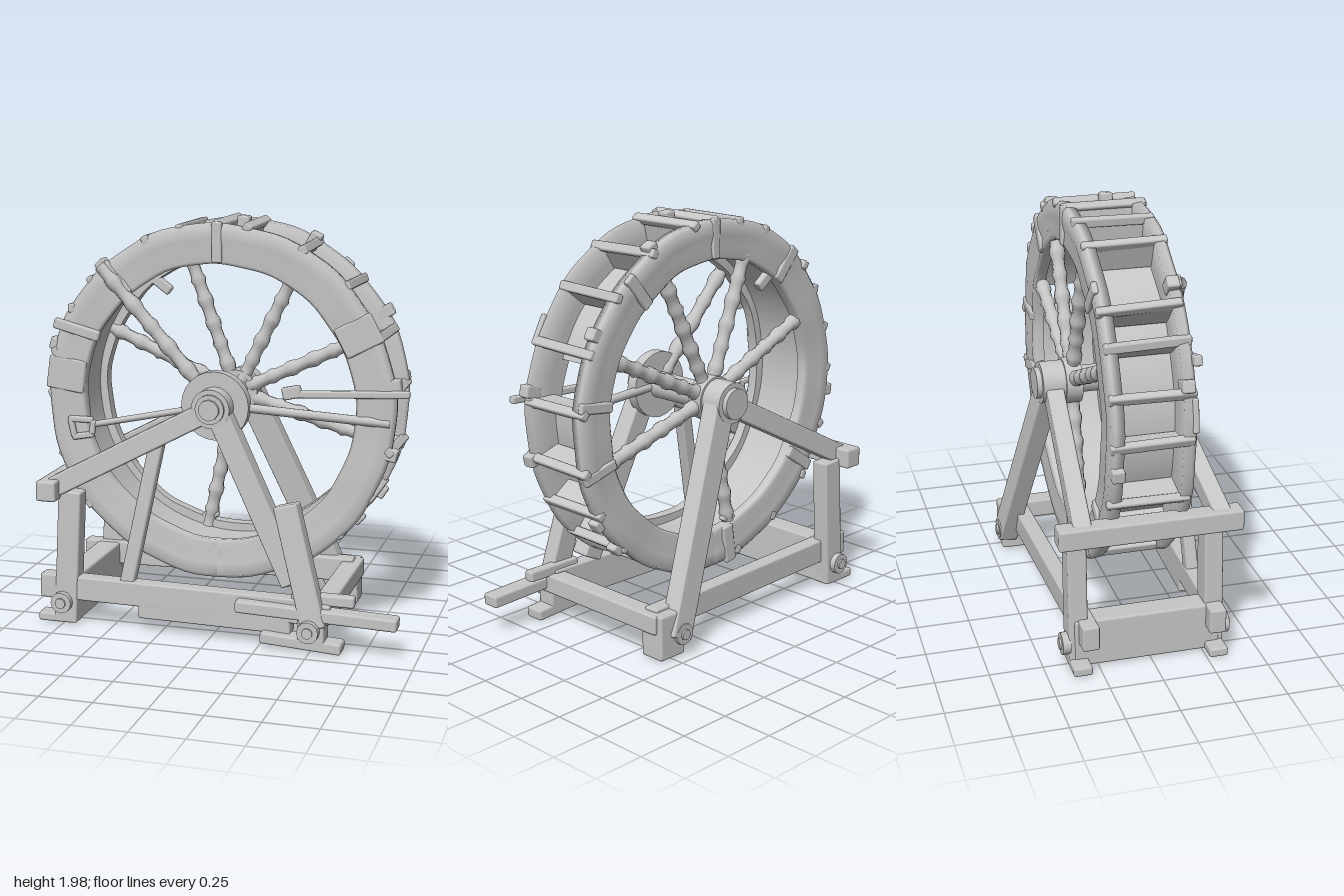
import * as THREE from 'three';
import { RoundedBoxGeometry } from 'three/addons/geometries/RoundedBoxGeometry.js';

const V = (x, y, z) => new THREE.Vector3(x, y, z);
const RAD = Math.PI / 180;
const CX = -0.015, CY = 1.113; // wheel centre

export function createModel() {
  const model = new THREE.Group();
  model.name = 'waterWheel';
  const wood = new THREE.MeshStandardMaterial({ color: 0xc6c6c6, side: THREE.DoubleSide });
  wood.name = 'grey wood';

  let seed = 7;
  const rand = () => ((seed = (seed * 16807) % 2147483647) / 2147483647);

  function add(name, geo, parent = model) {
    const m = new THREE.Mesh(geo, wood);
    m.name = name;
    parent.add(m);
    return m;
  }
  // turn a mesh so that its y axis runs from a to b
  function span(m, a, b) {
    const y = b.clone().sub(a).normalize();
    const ref = Math.abs(y.z) > 0.9 ? V(1, 0, 0) : V(0, 0, 1);
    const x = y.clone().cross(ref).normalize();
    m.quaternion.setFromRotationMatrix(new THREE.Matrix4().makeBasis(x, y, x.clone().cross(y)));
    m.position.copy(a).add(b).multiplyScalar(0.5);
    return m;
  }
  // squared timber; w lies in the frame plane, d across it
  const beam = (name, a, b, w, d, parent) =>
    span(add(name, new RoundedBoxGeometry(w, a.distanceTo(b), d, 1, 0.01), parent), a, b);
  const block = (name, x0, x1, y0, y1, z0, z1) => {
    const m = add(name, new RoundedBoxGeometry(x1 - x0, y1 - y0, z1 - z0, 1, 0.012));
    m.position.set((x0 + x1) / 2, (y0 + y1) / 2, (z0 + z1) / 2);
    return m;
  };
  const disc = (name, x, y, z0, z1, r, parent, n = 24) => {
    const m = add(name, new THREE.CylinderGeometry(r, r, z1 - z0, n), parent);
    m.rotation.x = Math.PI / 2;
    m.position.set(x, y, (z0 + z1) / 2);
    return m;
  };

  // ---- wheel ----
  const wheel = new THREE.Group();
  wheel.name = 'wheel';
  wheel.position.set(CX, CY, 0);
  model.add(wheel);
  const polar = (deg, r, z) => V(r * Math.cos(deg * RAD), r * Math.sin(deg * RAD), z);

  // rims: shallow grooved section, made slightly uneven
  for (const [name, z, s] of [['frontRim', 0.15, 1], ['backRim', -0.18, -1]]) {
    const section = [[0.67, -0.03], [0.665, 0.015], [0.68, 0.03], [0.73, 0.022], [0.78, 0.034],
      [0.835, 0.032], [0.855, 0.012], [0.85, -0.03], [0.75, -0.03], [0.67, -0.03]];
    const pts = section.map(([r, h]) => new THREE.Vector2(r, h * s));
    if (s < 0) pts.reverse();
    const geo = new THREE.LatheGeometry(pts, 96);
    geo.rotateX(Math.PI / 2);
    const p = geo.attributes.position;
    for (let i = 0; i < p.count; i++) {
      const t = Math.atan2(p.getY(i), p.getX(i));
      const k = 1 + 0.004 * Math.sin(7 * t + s) + 0.003 * Math.sin(17 * t);
      p.setXYZ(i, p.getX(i) * k, p.getY(i) * k, p.getZ(i) + 0.002 * Math.sin(11 * t));
    }
    geo.computeVertexNormals();
    add(name, geo, wheel).position.z = z;
  }

  // drum floor between the rims, with two open gaps on one side
  for (const [start, sweep] of [[21, 311], [-20, 26]]) {
    const geo = new THREE.CylinderGeometry(0.71, 0.71, 0.31, 80, 1, true, 0, sweep * RAD);
    geo.rotateX(Math.PI / 2);
    geo.rotateZ((90 + start) * RAD);
    add('drumFloor', geo, wheel).position.z = -0.015;
  }

  // rungs and the paddle boards beneath them
  for (const deg of [6, 24, 43, 62, 81, 90, 102, 115, 139, 150, 165, 180, 200, 219, 238, 258, 278, 296, 314, 331, 347]) {
    const out = deg > 225 && deg < 310 ? 0.825 : 0.838 + 0.01 * rand();
    beam('rung', polar(deg, out, -0.205 - 0.02 * rand()), polar(deg + 2 * rand() - 1, out, 0.165 + 0.02 * rand()),
      0.045, 0.04, wheel).rotateY(rand());
    beam('paddle', polar(deg + 1, 0.71, -0.015), polar(deg, out, -0.015), 0.025, 0.3, wheel);
  }

  // straps round the rim: [angle, width, front face?, back face?]
  for (const [deg, w, front, back] of [[90, 0.05, 1, 1], [28, 0.15, 1, 0], [172, 0.16, 1, 0], [50, 0.06, 0, 1],
    [8, 0.05, 0, 1], [345, 0.05, 0, 1], [131, 0.06, 1, 1], [215, 0.06, 0, 1], [262, 0.07, 0, 1]]) {
    if (front) beam('rimStrap', polar(deg, 0.67, 0.172), polar(deg, 0.862, 0.172), w, 0.03, wheel);
    if (back) beam('rimStrap', polar(deg, 0.67, -0.205), polar(deg, 0.862, -0.205), w, 0.03, wheel);
  }
  // pegs standing out of the rim
  for (const [deg, z] of [[84, 0.02], [63, -0.17], [30, -0.18], [9, 0.15], [347, 0.15], [328, -0.17],
    [316, -0.17], [163, 0.14], [188, -0.18], [132, 0.14]])
    beam('peg', polar(deg, 0.80, z), polar(deg, 0.885, z), 0.06, 0.06, wheel);
  // lashed stick across the left of the rim
  beam('lashing', V(-0.81, 0.36, 0.19), V(-0.58, 0.3, 0.19), 0.05, 0.04, wheel);

  // round spokes with knots
  function spoke(deg, r1, z, rad, knots) {
    const n = 28, pts = [];
    for (let i = 0; i <= n; i++) {
      const bump = knots && Math.sin(i * 1.35 + deg) > 0.45 ? 0.008 : 0;
      pts.push(new THREE.Vector2(rad + bump, (i / n - 0.5) * (r1 - 0.06)));
    }
    span(add(knots ? 'knottedSpoke' : 'spoke', new THREE.LatheGeometry(pts, 9), wheel),
      polar(deg, 0.06, z), polar(deg, r1, z));
  }
  for (const deg of [110, 64, 156, 25, 344, 258]) spoke(deg, 0.72, -0.17, 0.031, true);
  spoke(132, 0.86, 0.175, 0.032, true);
  spoke(357, 0.83, 0.17, 0.022, false);
  spoke(192, 0.63, 0.18, 0.016, false);
  // split ends of the loose spokes
  beam('looseSpoke', V(0.33, 0.07, 0.18), V(0.92, 0.1, 0.18), 0.035, 0.035, wheel);
  beam('looseSpokeEnd', V(0.32, 0.07, 0.18), V(0.41, 0.09, 0.18), 0.06, 0.035, wheel);
  for (const [x0, y0, x1, y1] of [[-0.62, -0.11, -0.63, -0.18], [-0.62, -0.11, -0.75, -0.11],
    [-0.62, -0.18, -0.73, -0.2], [-0.74, -0.1, -0.72, -0.2]])
    beam('forkedEnd', V(x0, y0, 0.185), V(x1, y1, 0.185), 0.03, 0.03, wheel);
  for (const [x0, y0, x1, y1] of [[-0.42, 0.54, -0.34, 0.48], [0.6, 0.3, 0.67, 0.22], [-0.17, -0.66, -0.1, -0.62]])
    beam('splinter', V(x0, y0, -0.17), V(x1, y1, -0.17), 0.05, 0.04, wheel);

  // hub and axle
  disc('axle', 0, 0, -0.33, 0.28, 0.065, wheel);
  disc('frontHub', 0, 0, 0.2, 0.29, 0.093, wheel);
  disc('backHub', 0, 0, -0.33, -0.2, 0.1, wheel);
  disc('frontCollar', 0, 0, 0.16, 0.215, 0.165, wheel);
  disc('backCollar', 0, 0, -0.22, -0.14, 0.11, wheel);
  disc('axleCap', 0, 0, 0.28, 0.305, 0.07, wheel);
  disc('axleCap', 0, 0, -0.355, -0.32, 0.075, wheel);
  disc('axlePin', 0, 0, 0.29, 0.32, 0.05, wheel, 10);

  // ---- frame ----
  // front leg in two overlapping boards, back leg in one
  beam('frontLeg', V(0.0, 1.12, 0.235), V(0.39, 0.3, 0.268), 0.11, 0.1);
  beam('frontLegBoard', V(0.37, 0.70, 0.345), V(0.52, 0.13, 0.39), 0.115, 0.085);
  beam('backLeg', V(0, 1.15, -0.265), V(0.46, 0.1, -0.415), 0.13, 0.095);

  for (const s of [1, -1]) {
    const post = s > 0 ? 0.305 : -0.34;
    // sloping arms, posts and side beams that spread towards the legs
    beam('arm', V(0.03, 1.13, s * 0.25 - 0.015), V(-0.8, 0.69, s * 0.325), 0.1, 0.085);
    beam('post', V(-0.74, 0.02, post), V(-0.705, 0.68, post), 0.115, 0.09);
    beam('sideBeam', V(-0.87, 0.195, s * 0.3), V(0.55, 0.195, s * 0.345), 0.12, 0.08);
    block('leftFoot', -0.88, -0.7, 0.015, 0.06, post - 0.045, post + 0.045);
    // bolts
    for (const [x, z] of [[-0.75, post + s * 0.055], [s > 0 ? 0.5 : 0.44, s * 0.44]]) {
      disc('bolt', x, 0.125, z - 0.02, z + 0.02, 0.052, model, 12);
      disc('boltPin', x, 0.125, z + s * 0.02 - 0.01, z + s * 0.02 + 0.01, 0.026, model, 10);
    }
  }
  beam('lowerBeam', V(-0.36, 0.12, 0.315), V(0.4, 0.12, 0.34), 0.085, 0.08);
  block('frontFoot', 0.26, 0.65, 0.025, 0.08, 0.32, 0.42).rotation.z = -0.06;
  block('frontFootBlock', 0.44, 0.57, 0.03, 0.2, 0.32, 0.42);
  block('backFootBlock', 0.42, 0.575, 0.02, 0.24, -0.44, -0.31);
  beam('strut', V(-0.425, 0.24, 0.31), V(-0.28, 0.94, 0.27), 0.07, 0.06);

  // cross beams
  block('upperCrossBeam', -0.85, -0.75, 0.64, 0.74, -0.44, 0.42);
  block('leftCrossBeam', -0.8, -0.68, 0.02, 0.25, -0.36, 0.33);
  block('rightCrossBeam', 0.49, 0.59, 0.145, 0.24, -0.41, 0.39);

  // projecting plank and the short piece beside it
  block('plank', 0.14, 0.91, 0.165, 0.225, 0.335, 0.425).rotation.z = -0.03;
  block('shortPiece', 0.4, 0.7, 0.23, 0.285, 0.315, 0.37);
  return model;
}
